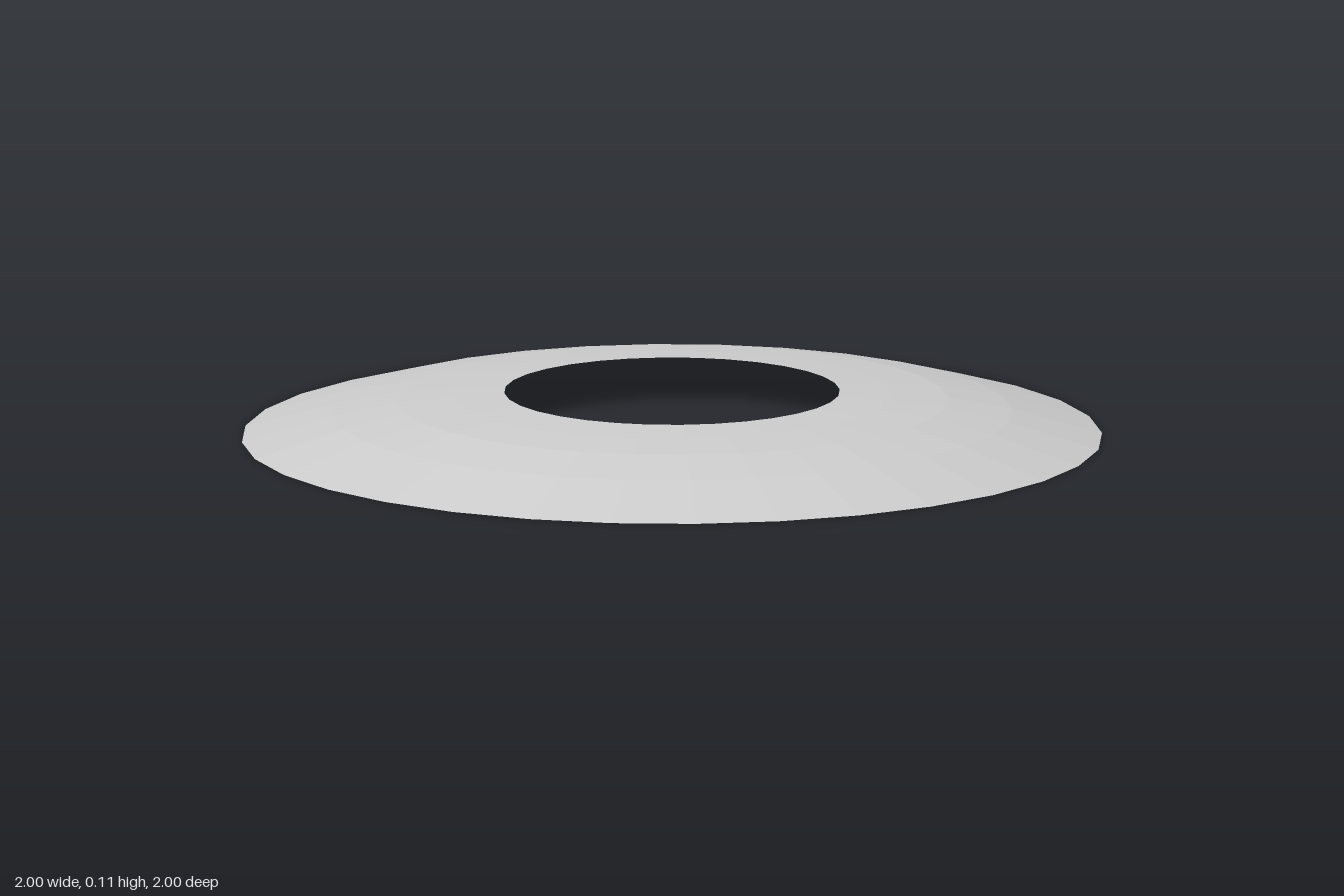
import * as THREE from 'three';

export function createModel() {
  const group = new THREE.Group();
  group.name = 'domedRing';

  // Thin shell profile from the outer rim up to the edge of the central hole
  const profile = [
    [1.0, 0], [0.79, 0.06], [0.64, 0.09], [0.51, 0.102], [0.39, 0.11],
  ].map(([r, y]) => new THREE.Vector2(r, y));

  // 32 flat facets, turned slightly about the vertical axis
  const shell = new THREE.Mesh(
    new THREE.LatheGeometry(profile, 32, THREE.MathUtils.degToRad(3.85)),
    new THREE.MeshStandardMaterial({
      color: 0xcccccc, flatShading: true, side: THREE.DoubleSide,
    }),
  );
  shell.name = 'ringShell';
  group.add(shell);
  return group;
}
